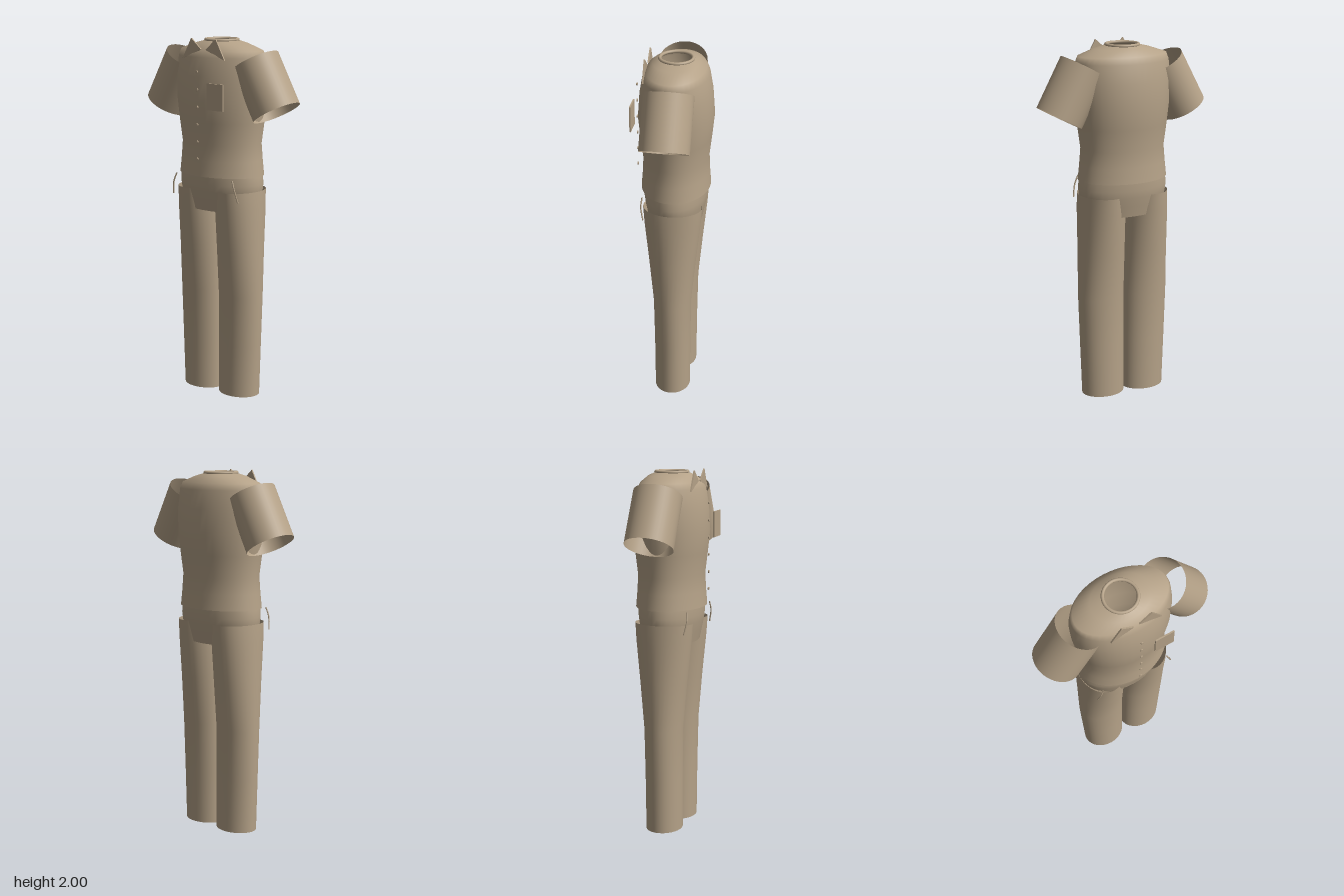
import * as THREE from 'three';
import { mergeVertices } from 'three/addons/utils/BufferGeometryUtils.js';

const Z = -0.01; // depth of the garment's centre line

// Open cloth tube through elliptical rings [y, x radius, z radius, centre x], listed top to bottom
function clothTube(rings, sides = 40) {
  let geo = new THREE.CylinderGeometry(1, 1, 1, sides, rings.length - 1, true);
  const pos = geo.attributes.position;
  for (let i = 0; i < pos.count; i++) {
    const [y, rx, rz, cx = 0] = rings[Math.floor(i / (sides + 1))];
    pos.setXYZ(i, cx + pos.getX(i) * rx, y, Z + pos.getZ(i) * rz);
  }
  geo.deleteAttribute('uv');
  geo.deleteAttribute('normal');
  geo = mergeVertices(geo, 1e-5);
  geo.computeVertexNormals();
  return geo;
}

export function createModel() {
  const group = new THREE.Group();
  const tan = new THREE.MeshStandardMaterial({ color: 0xb5a288, side: THREE.DoubleSide });
  tan.name = 'tan cloth';

  const add = (name, geo, x = 0, y = 0, z = 0) => {
    const mesh = new THREE.Mesh(geo, tan);
    mesh.name = name;
    mesh.position.set(x, y, z);
    group.add(mesh);
    return mesh;
  };

  // Shirt body, from neck opening to hem
  add('shirtBody', clothTube([
    [1.985, 0.088, 0.09], [1.968, 0.16, 0.125], [1.935, 0.258, 0.158],
    [1.9, 0.27, 0.176], [1.8, 0.278, 0.194], [1.67, 0.27, 0.204],
    [1.55, 0.257, 0.192], [1.43, 0.241, 0.178], [1.34, 0.249, 0.182], [1.255, 0.258, 0.189],
  ]));

  // Neck band
  const band = add('neckBand', new THREE.TorusGeometry(0.088, 0.009, 10, 40), 0, 1.987, Z);
  band.rotation.x = Math.PI / 2;

  // Trouser seat, open underneath
  add('trouserSeat', clothTube([
    [1.26, 0.253, 0.173], [1.21, 0.26, 0.173], [1.17, 0.255, 0.168],
    [1.12, 0.245, 0.158], [1.06, 0.23, 0.146],
  ]));

  // Shirt buttons
  for (let i = 0; i < 6; i++) {
    const button = add('button', new THREE.CylinderGeometry(0.008, 0.008, 0.006, 12), 0, 1.825 - i * 0.094, 0.203);
    button.rotation.x = Math.PI / 2;
  }

  // Chest pocket
  add('chestPocket', new THREE.BoxGeometry(0.11, 0.142, 0.008), 0.13, 1.699, 0.207);

  // Paired parts
  for (const s of [1, -1]) {
    const side = s > 0 ? 'left' : 'right';

    // Trouser leg
    add(side + 'Leg', clothTube([
      [1.175, 0.126, 0.162, s * 0.131], [1.08, 0.13, 0.155, s * 0.132],
      [0.85, 0.132, 0.131, s * 0.133], [0.58, 0.133, 0.105, s * 0.136],
      [0.3, 0.129, 0.101, s * 0.131], [0, 0.123, 0.1, s * 0.126],
    ], 32));

    // Short sleeve, hanging outward from the shoulder
    const sleeve = add(side + 'Sleeve', new THREE.CylinderGeometry(0.133, 0.133, 0.302, 40, 1, true), s * 0.305, 1.7475, Z + 0.003);
    sleeve.rotation.z = s * Math.atan2(0.145, 0.265);

    // Collar point
    const flap = new THREE.Shape([
      new THREE.Vector2(s * 0.085, 2), new THREE.Vector2(s * 0.145, 1.89), new THREE.Vector2(s * 0.015, 1.94),
    ]);
    add(side + 'CollarPoint', new THREE.ExtrudeGeometry(flap, { depth: 0.008, bevelEnabled: false }), 0, 0, 0.141);

    // Piped hip pocket opening
    const piping = new THREE.CatmullRomCurve3([
      new THREE.Vector3(s * 0.197, 1.25, 0.146),
      new THREE.Vector3(s * 0.215, 1.2, 0.15),
      new THREE.Vector3(s * 0.23, 1.13, 0.137),
    ]);
    add(side + 'PocketPiping', new THREE.TubeGeometry(piping, 12, 0.004, 6));
  }
  return group;
}
